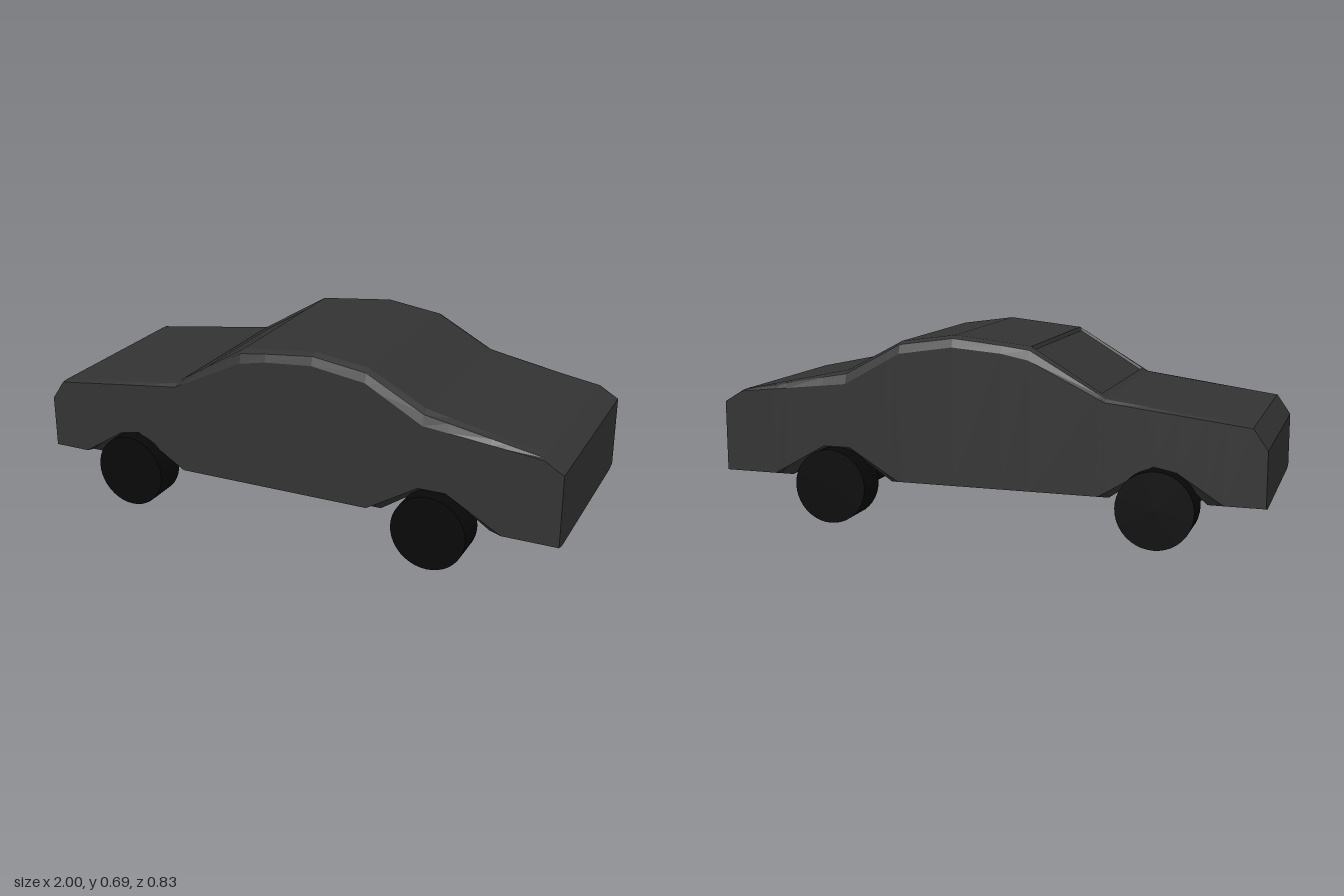
import * as THREE from 'three';

// Linear interpolation along a profile of [x, y] points
function sample(profile, x) {
  for (let i = 1; i < profile.length; i++) {
    const [x0, y0] = profile[i - 1], [x1, y1] = profile[i];
    if (x <= x1) return y0 + (y1 - y0) * (x - x0) / (x1 - x0);
  }
  return profile[profile.length - 1][1];
}

// Side profiles of the body, nose at -x
const roofLine = [[-1, 0.355], [-0.95, 0.43], [-0.45, 0.502], [-0.18, 0.665], [0.1, 0.695],
  [0.3, 0.667], [0.51, 0.555], [0.93, 0.466], [1, 0.42]];
const shoulderLine = [[-1, 0.355], [-0.95, 0.427], [-0.45, 0.488], [-0.18, 0.62], [-0.08, 0.64],
  [0.1, 0.655], [0.3, 0.625], [0.51, 0.507], [0.93, 0.462], [1, 0.42]];
const sillLine = [[-1, 0.16], [-0.86, 0.16], [-0.7, 0.262], [-0.62, 0.278], [-0.43, 0.16],
  [0.31, 0.16], [0.5, 0.275], [0.6, 0.275], [0.8, 0.16], [1, 0.16]];
const bellyLine = [[-1, 0.15], [-0.8, 0.15], [-0.7, 0.24], [-0.6, 0.25], [-0.46, 0.15],
  [0.35, 0.15], [0.5, 0.25], [0.6, 0.25], [0.75, 0.15], [1, 0.15]];
// Depth of the recessed windscreen
const recess = [[-1, 0], [-0.431, 0], [-0.425, 0.01], [-0.186, 0.01], [-0.18, 0], [1, 0]];

function createBody(material) {
  const profiles = [roofLine, shoulderLine, sillLine, bellyLine, recess];
  const stations = [...new Set(profiles.flatMap(p => p.map(q => q[0])))].sort((a, b) => a - b);
  const positions = [], index = [];
  let n = 0;
  for (const x of stations) {
    const top = sample(roofLine, x), shoulder = sample(shoulderLine, x);
    const half = [
      [0.325, top - sample(recess, x)], [0.332, top],
      [0.357, top - (top - shoulder) * 0.25], [0.37, shoulder],
      [0.37, sample(sillLine, x)], [0.33, sample(bellyLine, x)],
    ];
    const ring = [...half, ...half.map(([z, y]) => [-z, y]).reverse()];
    n = ring.length;
    ring.forEach(([z, y]) => positions.push(x, y, z));
  }
  // Skin between neighbouring cross-sections
  const last = (stations.length - 1) * n;
  for (let i = 0; i < last; i += n) {
    for (let j = 0; j < n; j++) {
      const a = i + j, b = i + (j + 1) % n;
      index.push(a, b, a + n, b, b + n, a + n);
    }
  }
  // Nose and tail panels
  for (let j = 1; j < n - 1; j++) {
    index.push(0, j + 1, j, last, last + j, last + j + 1);
  }
  const geometry = new THREE.BufferGeometry();
  geometry.setAttribute('position', new THREE.Float32BufferAttribute(positions, 3));
  geometry.setIndex(index);
  geometry.computeVertexNormals();
  const body = new THREE.Mesh(geometry, material);
  body.name = 'body';
  return body;
}

// Cylinder lying across the car
function crossCylinder(name, radius, width, x, z, material) {
  const geometry = new THREE.CylinderGeometry(radius, radius, width, 40).rotateX(Math.PI / 2);
  const mesh = new THREE.Mesh(geometry, material);
  mesh.position.set(x, 0.136, z);
  mesh.name = name;
  return mesh;
}

export function createModel() {
  const car = new THREE.Group();
  car.name = 'car';
  const paint = new THREE.MeshStandardMaterial({ color: 0x333333, flatShading: true });
  const rubber = new THREE.MeshStandardMaterial({ color: 0x080808 });

  car.add(createBody(paint));

  // Front and rear axles with their wheels
  for (const [end, x] of [['front', -0.635], ['rear', 0.557]]) {
    car.add(crossCylinder(end + 'Axle', 0.061, 0.6, x, 0, rubber));
    for (const [side, s] of [['Left', 1], ['Right', -1]]) {
      car.add(crossCylinder(end + side + 'Wheel', 0.136, 0.126, x, s * 0.354, rubber));
    }
  }
  return car;
}
